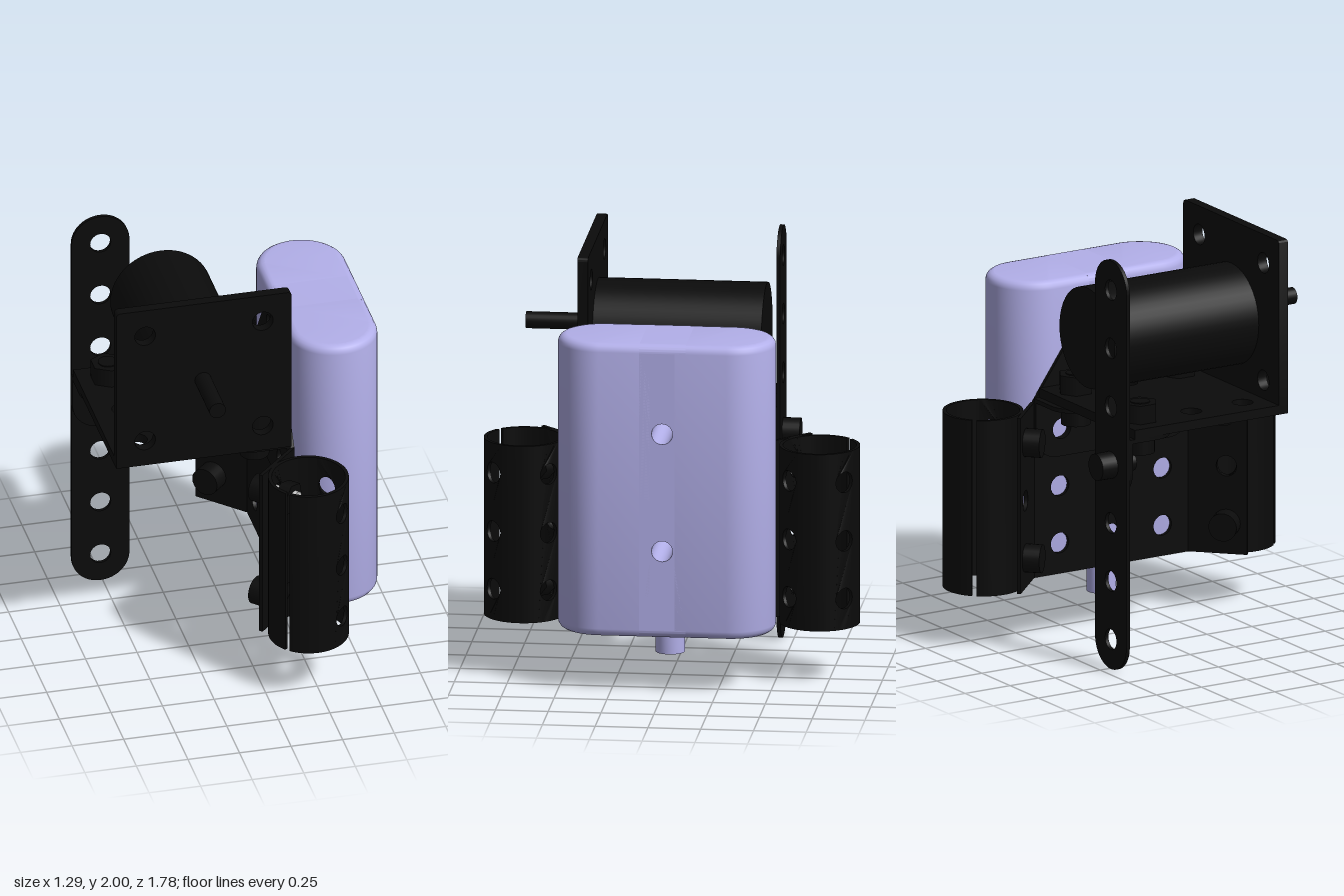
import * as THREE from 'three';
import { toCreasedNormals } from 'three/addons/utils/BufferGeometryUtils.js';

const BLACK = new THREE.MeshStandardMaterial({ color: 0x0b0b0b });
const LILAC = new THREE.MeshStandardMaterial({ color: 0xb3b0ea });
const STEEL = new THREE.MeshStandardMaterial({ color: 0xcccccc });
const HOLE = 0.05;
const ROWS = [0.42, 0.7, 0.985];

function addMesh(parent, name, geometry, material = BLACK) {
  const mesh = new THREE.Mesh(geometry, material);
  mesh.name = name;
  parent.add(mesh);
  return mesh;
}

function punch(shape, holes, r = HOLE) {
  for (const [u, v] of holes) shape.holes.push(new THREE.Path().absarc(u, v, r, 0, Math.PI * 2, true));
  return shape;
}

// Rectangle with one radius per corner: lower left, lower right, upper right, upper left
function rect(u0, v0, u1, v1, [a, b, c, d] = [0, 0, 0, 0]) {
  const s = new THREE.Shape(), q = Math.PI / 2;
  const corner = (u, v, r, start) => r ? s.absarc(u, v, r, start, start + q, false) : s.lineTo(u, v);
  s.moveTo(u0 + a, v0);
  corner(u1 - b, v0 + b, b, -q);
  corner(u1 - c, v1 - c, c, 0);
  corner(u0 + d, v1 - d, d, q);
  corner(u0 + a, v0 + a, a, 2 * q);
  return s;
}

// Sheet: axis z keeps (u,v)=(x,y); axis x gives (z,y); axis y gives (x,z).
// "at" is the sheet's lowest coordinate along its axis.
function sheet(shape, axis, at, t) {
  const g = new THREE.ExtrudeGeometry(shape, { depth: t, bevelEnabled: false, curveSegments: 12 });
  if (axis === 'x') g.rotateY(-Math.PI / 2).translate(at + t, 0, 0);
  else if (axis === 'y') g.rotateX(Math.PI / 2).translate(0, at + t, 0);
  else g.translate(0, 0, at);
  return toCreasedNormals(g, 0.6);
}

// Cylinder between two points
function rod(parent, name, from, to, r, material = BLACK, sides = 24) {
  const a = new THREE.Vector3(...from), b = new THREE.Vector3(...to), d = b.clone().sub(a);
  const mesh = addMesh(parent, name, new THREE.CylinderGeometry(r, r, d.length(), sides), material);
  mesh.quaternion.setFromUnitVectors(new THREE.Vector3(0, 1, 0), d.normalize());
  mesh.position.copy(a.add(b).multiplyScalar(0.5));
  return mesh;
}

function batteryCase() {
  const group = new THREE.Group();
  group.name = 'batteryCase';
  const x0 = 0.22, x1 = 0.645, y0 = 0.275, y1 = 1.7, e = 0.04, r = (x1 - x0) / 2, cx = (x0 + x1) / 2;
  // Rounded ends
  for (const s of [1, -1]) {
    const end = new THREE.Shape();
    const zc = s * (0.515 - r);
    end.moveTo(cx - s * r, s * 0.06);
    end.lineTo(cx + s * r, s * 0.06);
    end.absarc(cx, zc, r, s > 0 ? 0 : Math.PI, s > 0 ? Math.PI : Math.PI * 2, false);
    end.closePath();
    const g = new THREE.ExtrudeGeometry(end, {
      depth: y1 - y0 - 2 * e, bevelThickness: e, bevelSize: e, bevelOffset: -e, bevelSegments: 4, curveSegments: 28,
    });
    g.rotateX(Math.PI / 2).translate(0, y1 - e, 0);
    addMesh(group, 'caseEnd', toCreasedNormals(g, 0.6), LILAC);
  }
  // Pierced middle with rounded top and bottom strips
  addMesh(group, 'caseMiddle',
    sheet(punch(rect(-0.11, y0 + e, 0.11, y1 - e), [[0, 0.7], [0, 1.27]]), 'x', x0, x1 - x0), LILAC);
  addMesh(group, 'caseTop', sheet(rect(x0, y1 - 0.06, x1, y1, [0, 0, e, e]), 'z', -0.11, 0.22), LILAC);
  addMesh(group, 'caseBottom', sheet(rect(x0, y0, x1, y0 + 0.06, [e, e, 0, 0]), 'z', -0.11, 0.22), LILAC);
  // Hollow cable outlet
  const profile = [[0.035, 0.28], [0.035, 0.125], [0.07, 0.125], [0.07, 0.28]].map(p => new THREE.Vector2(...p));
  addMesh(group, 'cableOutlet', toCreasedNormals(new THREE.LatheGeometry(profile, 28), 0.6), LILAC)
    .position.x = 0.29;
  return group;
}

// Slit tube with three columns of holes, held on the outer side of a wing
function splitTube(s) {
  const group = new THREE.Group();
  group.name = s > 0 ? 'frontTube' : 'backTube';
  group.position.set(0.22, 0, s * 0.7);
  const R = 0.19, t = 0.017, y0 = 0.27, y1 = 1.13, q = Math.PI / 2, h = Math.PI / 10, gap = 0.06;
  const base = s * Math.PI / 4;
  // Perforated panels wrapped round the axis
  for (const turn of [-q, 0, 2 * q]) {
    const w = h * R, pts = [];
    for (let i = 0; i <= 6; i++) pts.push(new THREE.Vector2(-w + w * i / 3, y0));
    for (let i = 6; i >= 0; i--) pts.push(new THREE.Vector2(-w + w * i / 3, y1));
    const g = new THREE.ExtrudeGeometry(punch(new THREE.Shape(pts), ROWS.map(y => [0, y])),
      { depth: t, bevelEnabled: false, curveSegments: 12 });
    const p = g.attributes.position;
    for (let i = 0; i < p.count; i++) {
      const a = base + s * turn - p.getX(i) / R, r = R - t + p.getZ(i);
      p.setXYZ(i, r * Math.cos(a), p.getY(i), r * Math.sin(a));
    }
    addMesh(group, 'tubePanel', toCreasedNormals(g, 0.6));
  }
  // Plain arcs between them, leaving the slit open
  for (const [from, to] of [[-q + h, -h], [h, q - gap], [q + gap, 2 * q - h], [2 * q + h, 3 * q - h]]) {
    const a = base + Math.min(s * from, s * to), b = base + Math.max(s * from, s * to);
    const arc = new THREE.Shape().absarc(0, 0, R, a, b, false).absarc(0, 0, R - t, b, a, true);
    addMesh(group, 'tubeWall', sheet(arc, 'y', y0, y1 - y0));
  }
  return group;
}

function motorMount() {
  const group = new THREE.Group();
  group.name = 'motorMount';
  const c = 0.02;
  // Upright face and base
  const face = punch(rect(-0.65, 1.15, 0.2, 2, [0, 0, c, c]),
    [[-0.51, 1.86], [0.06, 1.86], [-0.51, 1.285], [0.06, 1.285]]);
  addMesh(group, 'mountFace', sheet(face, 'z', 0.4, 0.05));
  const holes = [-0.51, 0.06].flatMap(x => [-0.285, 0, 0.285].map(z => [x, z]));
  addMesh(group, 'mountBase', sheet(punch(rect(-0.65, -0.4, 0.2, 0.41), holes), 'y', 1.15, 0.045));
  // Motor with offset output shaft
  rod(group, 'motor', [-0.225, 1.545, -0.4], [-0.225, 1.545, 0.41], 0.245, BLACK, 48);
  rod(group, 'motorShaft', [-0.23, 1.58, 0.4], [-0.23, 1.58, 0.74], 0.04);
  // Vertical screws with nuts
  for (const [x, z] of [[-0.51, -0.285], [0.06, -0.285], [0.06, 0.285]]) {
    rod(group, 'baseScrew', [x, 1.1, z], [x, 1.29, z], 0.047);
    rod(group, 'baseScrewHead', [x, 1.04, z], [x, 1.13, z], 0.07);
    rod(group, 'baseNut', [x, 1.19, z], [x, 1.285, z], 0.085, BLACK, 6);
  }
  return group;
}

function sidePlate() {
  const group = new THREE.Group();
  group.name = 'sidePlate';
  // Panel rising to a rounded peak
  const s = new THREE.Shape();
  s.moveTo(-0.43, 0.27);
  s.lineTo(0.43, 0.27);
  s.lineTo(0.43, 1.13);
  s.absarc(0, 1.55, 0.11, 0.72, Math.PI - 0.72, false);
  s.lineTo(-0.43, 1.13);
  const holes = ROWS.flatMap(y => [-0.285, 0, 0.285].map(z => [z, y]));
  addMesh(group, 'panel', sheet(punch(s, [...holes, [0, 1.27], [0, 1.555]]), 'x', 0.2, 0.018));

  for (const side of [1, -1]) {
    // Wing bent at 45 degrees
    const wing = addMesh(group, 'wing',
      sheet(punch(rect(0, 0.27, 0.29, 1.13), ROWS.map(y => [0.19, y])), 'z', -0.009, 0.018));
    wing.rotation.y = -side * Math.PI * 0.75;
    wing.position.set(0.21, 0, side * 0.43);
    // Bolts clamping the tube
    for (const y of [ROWS[0], ROWS[2]]) {
      const at = d => [0.076 + d * 0.707, y, side * (0.564 + d * 0.707)];
      rod(group, 'clampBoltHead', at(-0.09), at(-0.005), 0.068);
      rod(group, 'clampBolt', at(-0.02), at(0.14), 0.04, STEEL);
      if (side > 0) rod(group, 'clampNut', at(0.06), at(0.12), 0.08, BLACK, 6);
    }
    group.add(splitTube(side));
  }
  return group;
}

function brackets() {
  const group = new THREE.Group();
  group.name = 'brackets';
  // Angle joining the base to the side plate
  addMesh(group, 'sideAngleTop',
    sheet(punch(rect(-0.08, -0.43, 0.2, 0.43, [0.12, 0, 0, 0.12]), [[0.06, 0]]), 'y', 1.13, 0.02));
  addMesh(group, 'sideAngleLeg',
    sheet(punch(rect(-0.43, 0.85, 0.43, 1.14, [0.12, 0.12, 0, 0]),
      [[-0.285, 0.985], [0, 0.985], [0.285, 0.985]]), 'x', 0.182, 0.018));
  // Angle joining the base to the strip
  addMesh(group, 'stripAngleTop', sheet(rect(-0.65, -0.43, -0.37, -0.15, [0, 0, 0.13, 0.13]), 'y', 1.13, 0.02));
  addMesh(group, 'stripAngleLeg', sheet(rect(-0.65, 0.86, -0.37, 1.15, [0.13, 0.13, 0, 0]), 'z', -0.43, 0.018));
  rod(group, 'stripBolt', [-0.51, 1, -0.46], [-0.51, 1, -0.33], 0.045);
  rod(group, 'stripBoltHead', [-0.51, 1, -0.53], [-0.51, 1, -0.44], 0.065);
  return group;
}

export function createModel() {
  const model = new THREE.Group();
  model.name = 'motorBracketAssembly';
  model.add(batteryCase(), motorMount(), sidePlate(), brackets());
  // Long perforated strip
  const r = 0.139;
  const strip = punch(rect(-0.65, 0, -0.37, 2, [r, r, r, r]),
    Array.from({ length: 7 }, (_, i) => [-0.51, 0.145 + i * 0.285]));
  addMesh(model, 'perforatedStrip', sheet(strip, 'z', -0.447, 0.018));
  return model;
}
